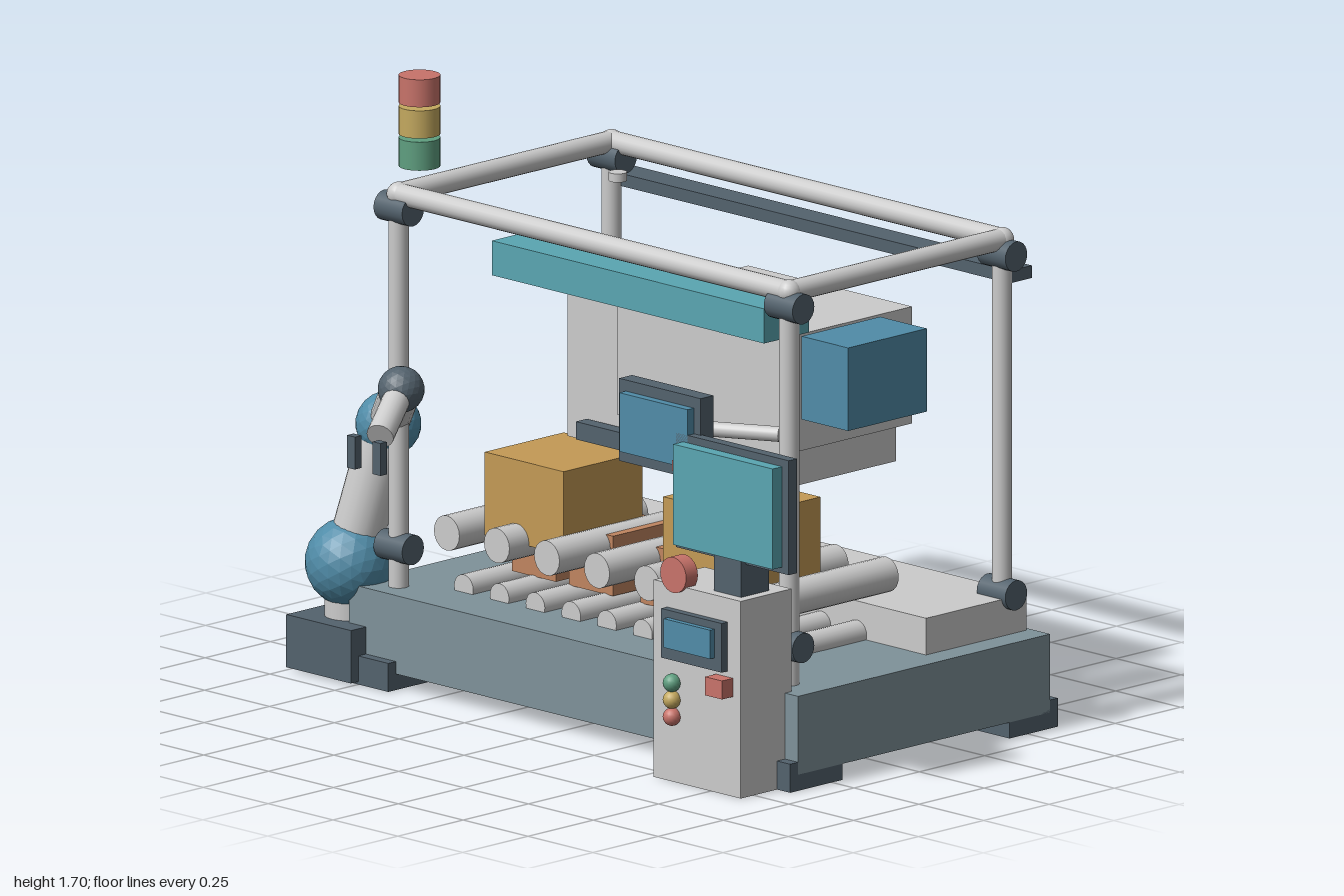
import * as THREE from 'three';

const mat = (color, flatShading = false) => new THREE.MeshStandardMaterial({ color, flatShading });

export function createModel() {
  const root = new THREE.Group();
  const grey = mat(0xcccccc), slate = mat(0x7f929a), dark = mat(0x53626d);
  const blue = mat(0x508ca8), teal = mat(0x5aa6b2), tan = mat(0xc49a55), brown = mat(0xc08560);
  const red = mat(0xc8736a), yellow = mat(0xc4a95f), green = mat(0x5f9f80);
  const blueFacet = mat(0x508ca8, true), darkFacet = mat(0x53626d, true);

  const add = (parent, name, geometry, material, x = 0, y = 0, z = 0) => {
    const m = new THREE.Mesh(geometry, material);
    m.name = name;
    m.position.set(x, y, z);
    parent.add(m);
    return m;
  };
  // Box given by its extents along each axis
  const box = (parent, name, material, [x0, x1], [y0, y1], [z0, z1]) =>
    add(parent, name, new THREE.BoxGeometry(x1 - x0, y1 - y0, z1 - z0), material,
      (x0 + x1) / 2, (y0 + y1) / 2, (z0 + z1) / 2);
  // Cylinder between two points
  const rod = (parent, name, material, from, to, r, sides = 20) => {
    const a = new THREE.Vector3(...from), b = new THREE.Vector3(...to);
    const d = b.clone().sub(a);
    const m = add(parent, name, new THREE.CylinderGeometry(r, r, d.length(), sides), material);
    m.position.copy(a).lerp(b, 0.5);
    m.quaternion.setFromUnitVectors(new THREE.Vector3(0, 1, 0), d.normalize());
    return m;
  };
  const group = (name) => {
    const g = new THREE.Group();
    g.name = name;
    root.add(g);
    return g;
  };

  // Base with corner feet, pads and rear housing
  const base = group('base');
  box(base, 'basePlatform', slate, [-0.815, 0.915], [0.045, 0.265], [-0.585, 0.38]);
  for (const x of [[-0.815, -0.635], [0.735, 0.915]])
    for (const z of [[-0.615, -0.43], [0.21, 0.41]]) box(base, 'cornerFoot', dark, x, [0, 0.08], z);
  for (const x of [-0.56, 0.66])
    for (const z of [-0.375, 0.165])
      box(base, 'basePad', dark, [x - 0.055, x + 0.055], [0.028, 0.05], [z - 0.055, z + 0.055]);
  box(base, 'rearHousing', grey, [-0.745, 0.84], [0.26, 0.368], [-0.57, -0.185]);

  // Tubular frame with clamps and ceiling lamps
  const frame = group('frame');
  const fx = [-0.705, 0.8], fz = [-0.515, 0.3], top = 1.365;
  for (const x of fx) {
    rod(frame, 'sideRail', grey, [x, top, fz[0]], [x, top, fz[1]], 0.03);
    for (const z of fz) {
      rod(frame, 'post', grey, [x, 0.26, z], [x, top, z], 0.028);
      add(frame, 'cornerJoint', new THREE.SphereGeometry(0.033, 16, 12), grey, x, top, z);
      for (const y of [0.375, 1.325])
        rod(frame, 'clamp', dark, [x - 0.055, y, z], [x + 0.055, y, z], 0.042);
    }
  }
  for (const z of fz) rod(frame, 'longRail', grey, [fx[0], top, z], [fx[1], top, z], 0.03);
  for (const x of [-0.56, 0.655])
    for (const z of [-0.395, 0.185])
      rod(frame, 'ceilingLamp', grey, [x, 1.303, z], [x, 1.327, z], 0.025);
  box(frame, 'rearBeam', dark, [-0.72, 0.82], [1.242, 1.277], [-0.61, -0.525]);
  box(frame, 'upperPanel', teal, [-0.475, 0.575], [1.155, 1.252], [0, 0.172]);

  // Signal tower
  const tower = group('signalTower');
  [[green, 1.442, 1.522], [yellow, 1.532, 1.61], [red, 1.62, 1.697]].forEach(([m, y0, y1]) =>
    rod(tower, 'signalLamp', m, [-0.67, y0, 0.255], [-0.67, y1, 0.255], 0.057, 24));

  // Working head above the conveyor
  const head = group('workHead');
  box(head, 'headBody', grey, [-0.365, 0.46], [0.692, 1.103], [-0.447, -0.008]);
  box(head, 'headCover', grey, [-0.155, 0.475], [0.792, 1.12], [-0.493, 0.008]);
  box(head, 'headTrim', dark, [-0.28, 0.38], [0.707, 0.757], [0.002, 0.044]);
  box(head, 'toolPlate', tan, [-0.005, 0.325], [0.677, 0.695], [-0.39, -0.085]);
  rod(head, 'toolSpindle', dark, [0.16, 0.487, -0.237], [0.16, 0.68, -0.237], 0.04);
  box(head, 'driveBox', blue, [0.51, 0.69], [0.893, 1.126], [-0.337, -0.035]);

  // Conveyors and cartons
  const conveyor = group('conveyor');
  for (let i = 0; i < 7; i++) {
    const x = -0.53 + i * 0.193;
    rod(conveyor, 'upperRoller', grey, [x, 0.443, -0.242], [x, 0.443, 0.29], 0.049);
  }
  for (let i = 0; i < 9; i++) {
    const x = -0.53 + i * 0.138;
    rod(conveyor, 'lowerRoller', grey, [x, 0.278, -0.22], [x, 0.278, 0.225], 0.037);
  }
  for (const x of [-0.307, 0.38])
    box(conveyor, 'largeCarton', tan, [x - 0.152, x + 0.152], [0.437, 0.67], [-0.087, 0.215]);
  for (const x of [-0.39, -0.17, 0.105])
    box(conveyor, 'smallCarton', brown, [x - 0.085, x + 0.085], [0.312, 0.48], [-0.13, 0.095]);

  // Robot arm
  const arm = group('robotArm');
  const shoulder = [-0.875, 0.305, 0.317], elbow = [-0.8, 0.693, 0.245];
  const wrist = [-0.602, 0.852, 0.393], hand = [-0.52, 0.765, 0.555];
  box(arm, 'armBase', dark, [-1, -0.75], [0.008, 0.156], [0.2, 0.438]);
  rod(arm, 'armNeck', grey, [-0.875, 0.15, 0.317], [-0.875, 0.3, 0.317], 0.07);
  add(arm, 'shoulderJoint', new THREE.IcosahedronGeometry(0.124, 3), blueFacet, ...shoulder);
  rod(arm, 'upperArm', grey, shoulder, elbow, 0.073);
  add(arm, 'elbowJoint', new THREE.IcosahedronGeometry(0.09, 3), blueFacet, ...elbow);
  rod(arm, 'forearm', grey, elbow, wrist, 0.056);
  add(arm, 'wristJoint', new THREE.IcosahedronGeometry(0.064, 3), darkFacet, ...wrist);
  rod(arm, 'handLink', grey, wrist, hand, 0.038);
  for (const x of [-0.567, -0.468])
    box(arm, 'gripperFinger', dark, [x - 0.015, x + 0.015], [0.677, 0.768], [0.595, 0.62]);

  // Control cabinet
  const cabinet = group('controlCabinet');
  box(cabinet, 'cabinetBody', grey, [0.53, 0.865], [0, 0.553], [0.355, 0.55]);
  box(cabinet, 'displayFrame', dark, [0.582, 0.815], [0.348, 0.486], [0.55, 0.573]);
  box(cabinet, 'display', blue, [0.608, 0.787], [0.384, 0.465], [0.57, 0.59]);
  box(cabinet, 'switch', red, [0.77, 0.835], [0.28, 0.332], [0.55, 0.592]);
  [[green, 0.28], [yellow, 0.233], [red, 0.185]].forEach(([m, y]) =>
    add(cabinet, 'pushButton', new THREE.SphereGeometry(0.025, 16, 12), m, 0.61, y, 0.56));
  rod(cabinet, 'emergencyStop', red, [0.615, 0.583, 0.515], [0.615, 0.583, 0.56], 0.05, 24);
  box(cabinet, 'monitorStand', dark, [0.73, 0.835], [0.55, 0.735], [0.412, 0.518]);

  // Large and small monitors with support arm
  const monitors = group('monitors');
  box(monitors, 'largeMonitor', dark, [0.565, 1], [0.642, 0.963], [0.468, 0.5]);
  box(monitors, 'largeScreen', teal, [0.592, 0.975], [0.66, 0.942], [0.5, 0.537]);
  box(monitors, 'smallMonitor', dark, [0.32, 0.635], [0.835, 1.066], [0.425, 0.475]);
  box(monitors, 'smallScreen', blue, [0.347, 0.61], [0.87, 1.035], [0.475, 0.5]);
  box(monitors, 'monitorButton', red, [0.555, 0.6], [0.855, 0.885], [0.475, 0.505]);
  rod(monitors, 'monitorArm', grey, [0.48, 0.953, 0.43], [0.75, 0.953, 0.285], 0.021);

  return root;
}
